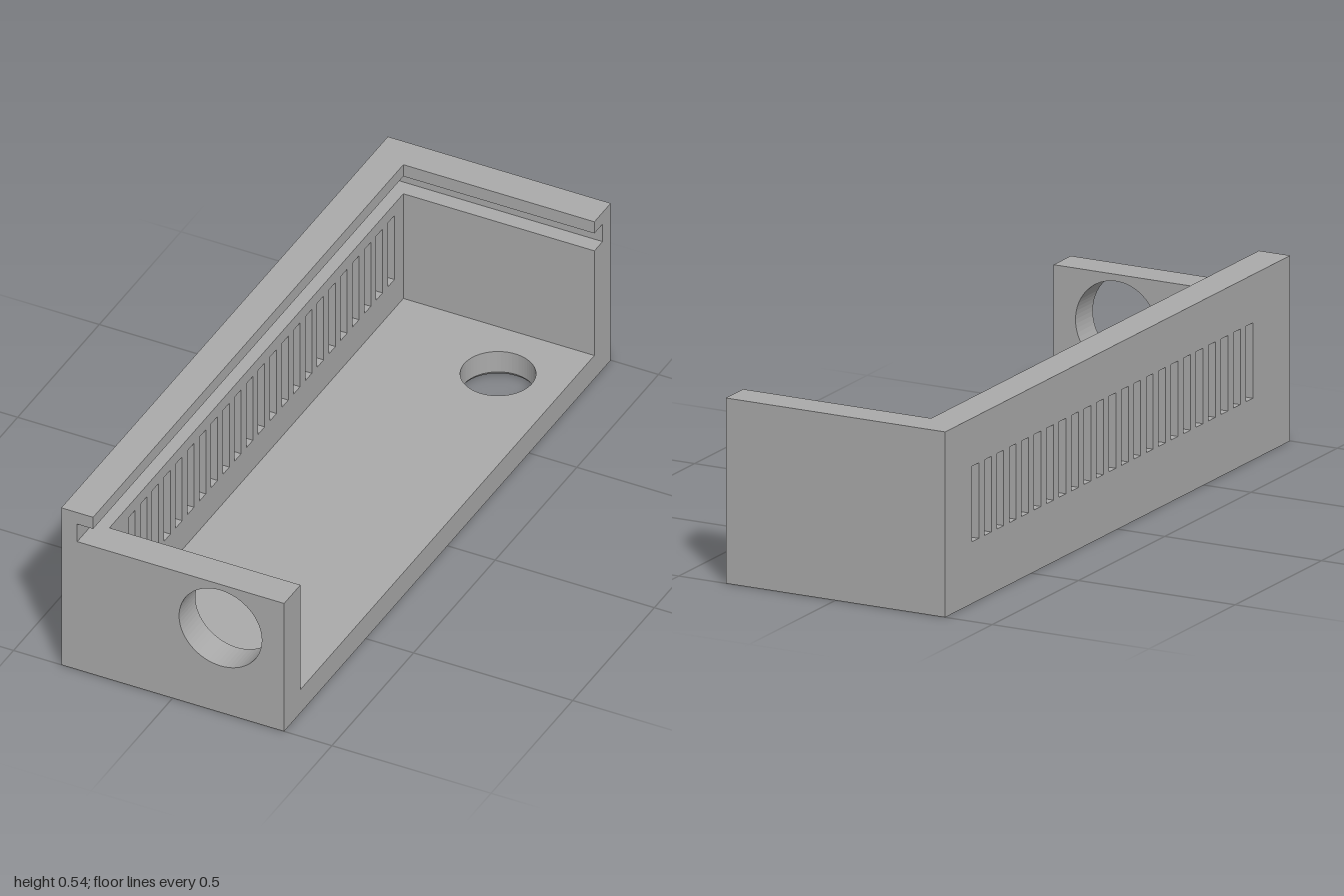
import * as THREE from 'three';

const W = 0.35, L = 1, T = 0.1; // half width, half length, wall thickness
const FLOOR = 0.08, GROOVE = 0.44, LIP = 0.5, TOP = 0.54;

const grey = new THREE.MeshStandardMaterial({ color: 0xaaaaaa });
grey.name = 'grey';
grey.side = THREE.DoubleSide;

function polygon(points) {
  return new THREE.Shape(points.map(([x, y]) => new THREE.Vector2(x, y)));
}

function rect(x0, y0, x1, y1) {
  return polygon([[x0, y0], [x1, y0], [x1, y1], [x0, y1]]);
}

function circle(x, y, r) {
  return new THREE.Path().absarc(x, y, r, 0, Math.PI * 2, true);
}

function extrude(shape, depth) {
  return new THREE.ExtrudeGeometry(shape, { depth, bevelEnabled: false, curveSegments: 32 });
}

export function createModel() {
  const group = new THREE.Group();
  const add = (name, geometry) => {
    const mesh = new THREE.Mesh(geometry, grey);
    mesh.name = name;
    group.add(mesh);
    return mesh;
  };
  // Horizontal slab: shape is drawn in (x, -z)
  const slab = (name, shape, y0, y1) =>
    add(name, extrude(shape, y1 - y0).rotateX(-Math.PI / 2).translate(0, y0, 0));

  // Floor in layers: wide hole rims, a blind recess and a through hole
  const through = { x: 0.15, z: -0.7 }, recess = { x: 0, z: 0.6 };
  const r = 0.106, rim = 0.113, chamfer = 0.01, recessDepth = 0.05;
  const layers = [
    ['floorRim', 0, chamfer, rim, [through, recess]],
    ['floorLower', chamfer, recessDepth, r, [through, recess]],
    ['floorUpper', recessDepth, FLOOR, r, [through]],
  ];
  for (const [name, y0, y1, radius, holes] of layers) {
    const shape = rect(-W, -L, W, L);
    for (const h of holes) shape.holes.push(circle(h.x, -h.z, radius));
    slab(name, shape, y0, y1);
  }
  for (const h of [through, recess]) {
    const ring = [new THREE.Vector2(rim, 0), new THREE.Vector2(r, chamfer)];
    add('holeChamfer', new THREE.LatheGeometry(ring, 64).translate(h.x, 0, h.z));
  }

  // Side wall with a row of ventilation slots, drawn in (-z, y)
  const side = rect(-L, FLOOR, L, GROOVE);
  const count = 23, first = 0.763, last = -0.825, half = 0.02;
  for (let i = 0; i < count; i++) {
    const u = -(first + (last - first) * i / (count - 1));
    side.holes.push(rect(u - half, 0.18, u + half, 0.4));
  }
  add('slottedWall', extrude(side, T).rotateY(Math.PI / 2).translate(-W, 0, 0));

  // End walls: the front one has a round port
  const front = rect(-W + T, FLOOR, W, GROOVE);
  front.holes.push(circle(0.15, 0.29, 0.13));
  add('frontWall', extrude(front, T).translate(0, 0, L - T));
  add('backWall', extrude(rect(-W + T, FLOOR, W, GROOVE), T).translate(0, 0, -L));

  // Lid groove and overhanging lip along the side and back
  const corner = (t) => polygon([
    [-W, -L], [-W + t, -L], [-W + t, L - t], [W, L - t], [W, L], [-W, L],
  ]);
  slab('lidGroove', corner(T / 2), GROOVE, LIP);
  slab('lidLip', corner(T), LIP, TOP);

  return group;
}
